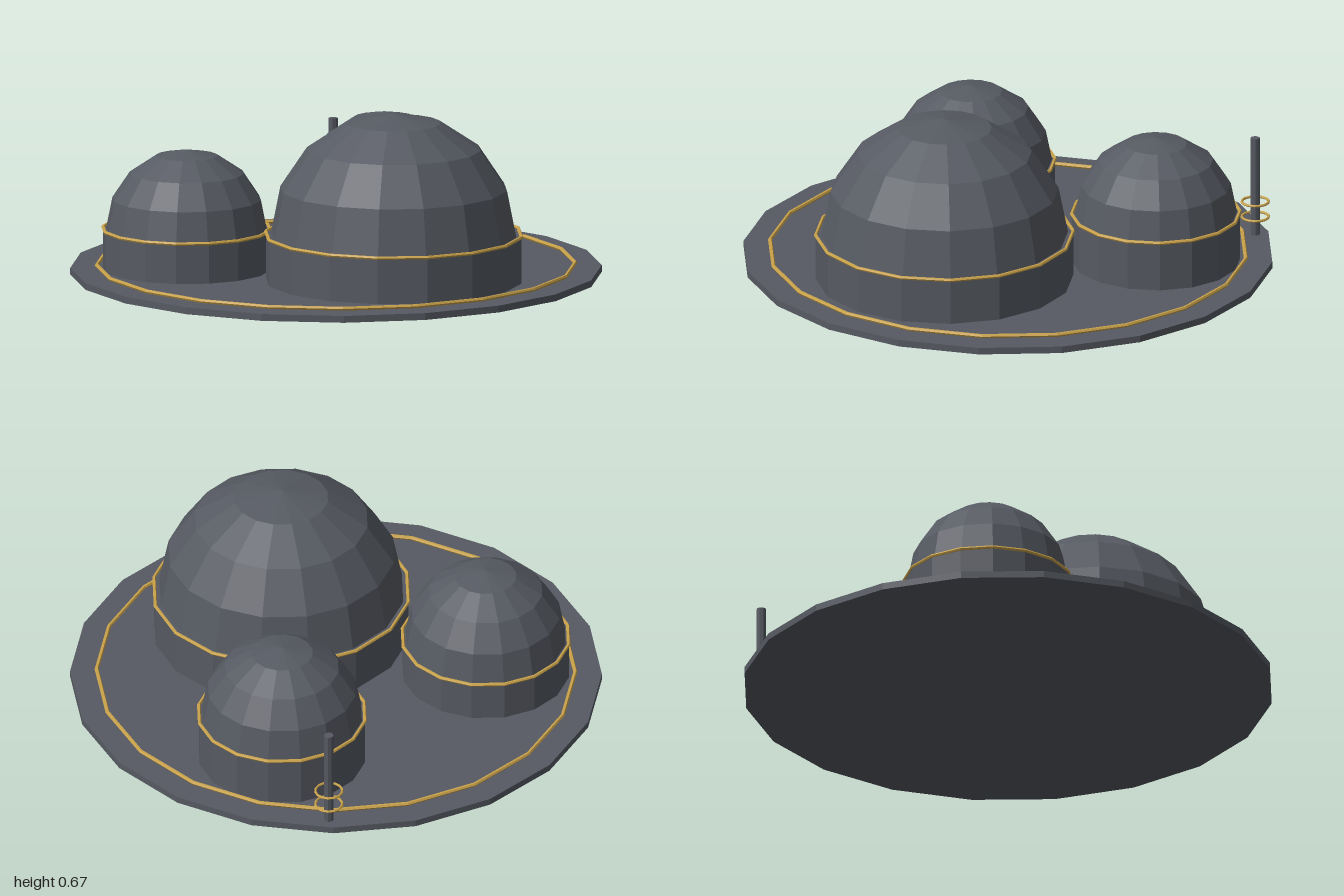
import * as THREE from 'three';

export function createModel() {
  const model = new THREE.Group();
  model.name = 'domeSettlement';

  const slate = new THREE.MeshStandardMaterial({ color: 0x565a62, flatShading: true });
  slate.name = 'slate grey';
  const gold = new THREE.MeshStandardMaterial({ color: 0xc9a24a, flatShading: true });
  gold.name = 'gold trim';

  const add = (parent, name, geometry, material, x, y, z) => {
    const mesh = new THREE.Mesh(geometry, material);
    mesh.name = name;
    mesh.position.set(x, y, z);
    parent.add(mesh);
    return mesh;
  };

  // Horizontal gold hoop
  const addRing = (parent, name, radius, tube, sides, x, y, z) => {
    const geometry = new THREE.TorusGeometry(radius, tube, 6, sides);
    geometry.rotateX(-Math.PI / 2);
    return add(parent, name, geometry, gold, x, y, z);
  };

  // Ground disc with its trim
  const baseTop = 0.026;
  add(model, 'baseDisc', new THREE.CylinderGeometry(1, 1, baseTop, 20), slate, 0, baseTop / 2, 0);
  addRing(model, 'baseTrim', 0.9, 0.008, 20, 0, 0.035, 0);

  // Each dome: drum wall, hemispherical roof and a trim at the joint
  const domes = [
    { name: 'frontDome', x: 0, z: 0.355, wall: 0.485, roof: 0.465, y: 0.2 },
    { name: 'leftDome', x: 0.47, z: -0.31, wall: 0.317, roof: 0.305, y: 0.214 },
    { name: 'rightDome', x: -0.47, z: -0.31, wall: 0.317, roof: 0.305, y: 0.177 },
  ];
  for (const d of domes) {
    const dome = new THREE.Group();
    dome.name = d.name;
    dome.position.set(d.x, 0, d.z);
    const height = d.y - 0.02;
    add(dome, 'wall', new THREE.CylinderGeometry(d.wall, d.wall, height, 16), slate, 0, 0.02 + height / 2, 0);
    add(dome, 'roof', new THREE.SphereGeometry(d.roof, 16, 4, 0, Math.PI * 2, 0, Math.PI / 2), slate, 0, d.y, 0);
    addRing(dome, 'trim', d.wall, 0.007, 16, 0, d.y + 0.002, 0);
    model.add(dome);
  }

  // Antenna mast with two hoops
  const antenna = new THREE.Group();
  antenna.name = 'antenna';
  antenna.position.set(0.57, 0, -0.755);
  add(antenna, 'mast', new THREE.CylinderGeometry(0.018, 0.018, 0.39, 8), slate, 0, 0.22, 0);
  for (const y of [0.097, 0.158]) addRing(antenna, 'hoop', 0.051, 0.005, 14, 0, y, 0);
  model.add(antenna);

  return model;
}
